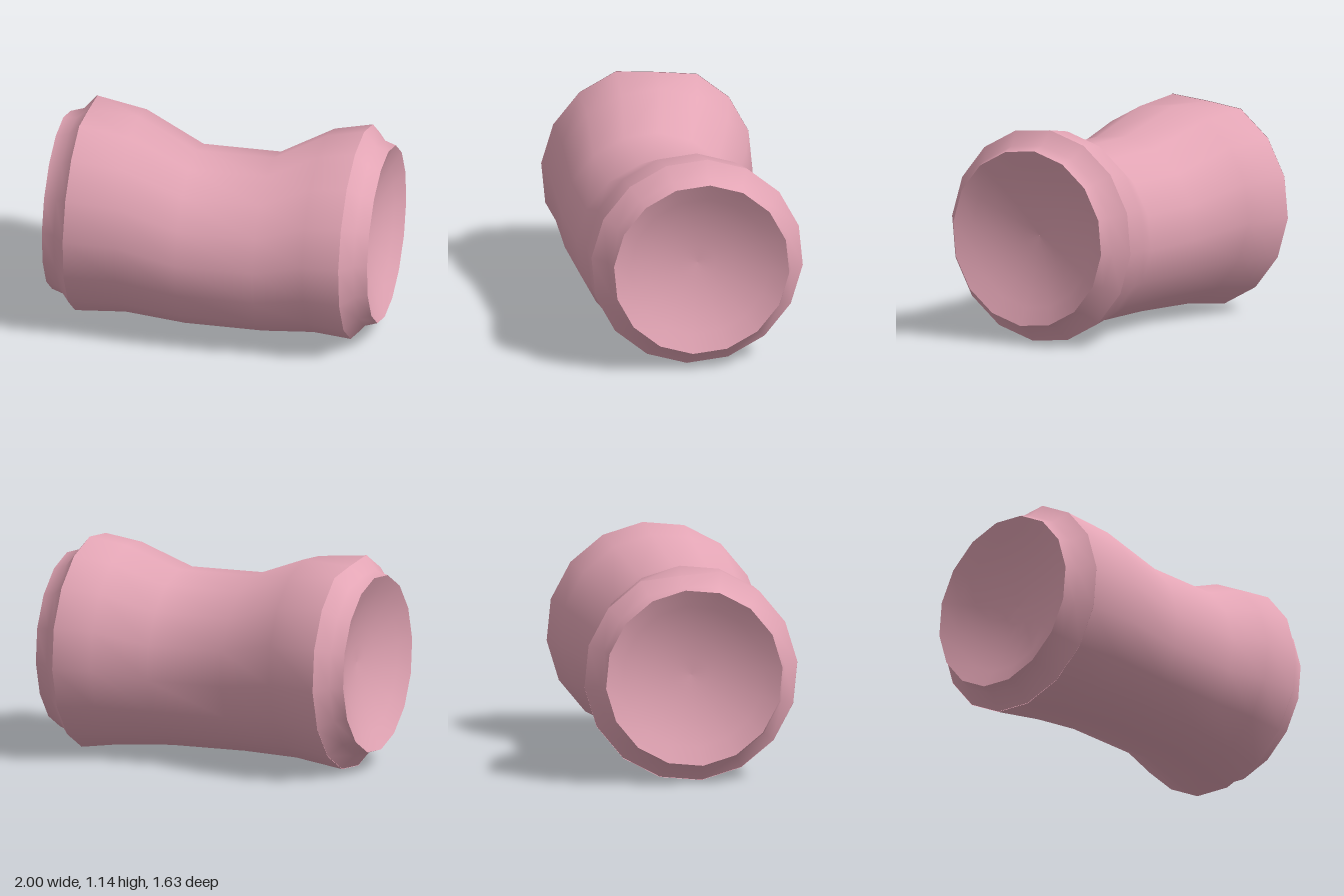
import * as THREE from 'three';

const SIDES = 16;
const PHASE = 0.098;
const CY = 0.565; // height of the tube axis

// Ring: [x along axis, radius, z offset, y offset, dip of the top corner]
function loft(rings) {
  const pos = [], idx = [];
  rings.forEach(([x, r, dz = 0, dy = 0, dip = 0], i) => {
    for (let j = 0; j < SIDES; j++) {
      const a = PHASE + (j / SIDES) * Math.PI * 2;
      pos.push(x, CY + dy + r * Math.sin(a) - (j === 4 ? dip : 0), dz + r * Math.cos(a));
      if (i === rings.length - 1) continue;
      const p = i * SIDES + j, q = i * SIDES + (j + 1) % SIDES;
      idx.push(p, p + SIDES, q, q, p + SIDES, q + SIDES);
    }
  });
  const g = new THREE.BufferGeometry();
  g.setAttribute('position', new THREE.Float32BufferAttribute(pos, 3));
  g.setIndex(idx);
  g.computeVertexNormals();
  return g;
}

export function createModel() {
  const model = new THREE.Group();
  model.name = 'pinchedTube';
  const material = new THREE.MeshStandardMaterial({ color: 0xe3a5b5, side: THREE.DoubleSide });
  const add = (name, rings) => {
    const mesh = new THREE.Mesh(loft(rings), material);
    mesh.name = name;
    model.add(mesh);
  };

  // Body: narrows in the middle, pinched from the upper back
  add('body', [
    [-0.75, 0.573, 0, -0.002, 0.04],
    [-0.47, 0.54, 0.03, 0],
    [-0.14, 0.478, 0.095, -0.065],
    [0.28, 0.478, 0.09, -0.065],
    [0.55, 0.543, 0.02, -0.005],
    [0.75, 0.573],
  ]);

  // Both ends: stepped collar and shallow dish
  for (const side of [-1, 1]) {
    const orient = rings => {
      const placed = rings.map(([x, ...rest]) => [x * side, ...rest]);
      return side < 0 ? placed.reverse() : placed;
    };
    const prefix = side < 0 ? 'right' : 'left';
    const dip = side < 0 ? 0.04 : 0;
    add(prefix + 'Collar', orient([
      [0.75, 0.573, 0, 0, dip],
      [0.815, 0.497, 0, 0, dip / 2],
      [0.885, 0.475],
    ]));
    add(prefix + 'Dish', orient([1, 0.8, 0.6, 0.4, 0.2, 0.002].map(t =>
      [0.885 - 0.12 * (1 - t * t), 0.475 * t])));
  }

  model.rotation.y = -0.4;
  return model;
}
